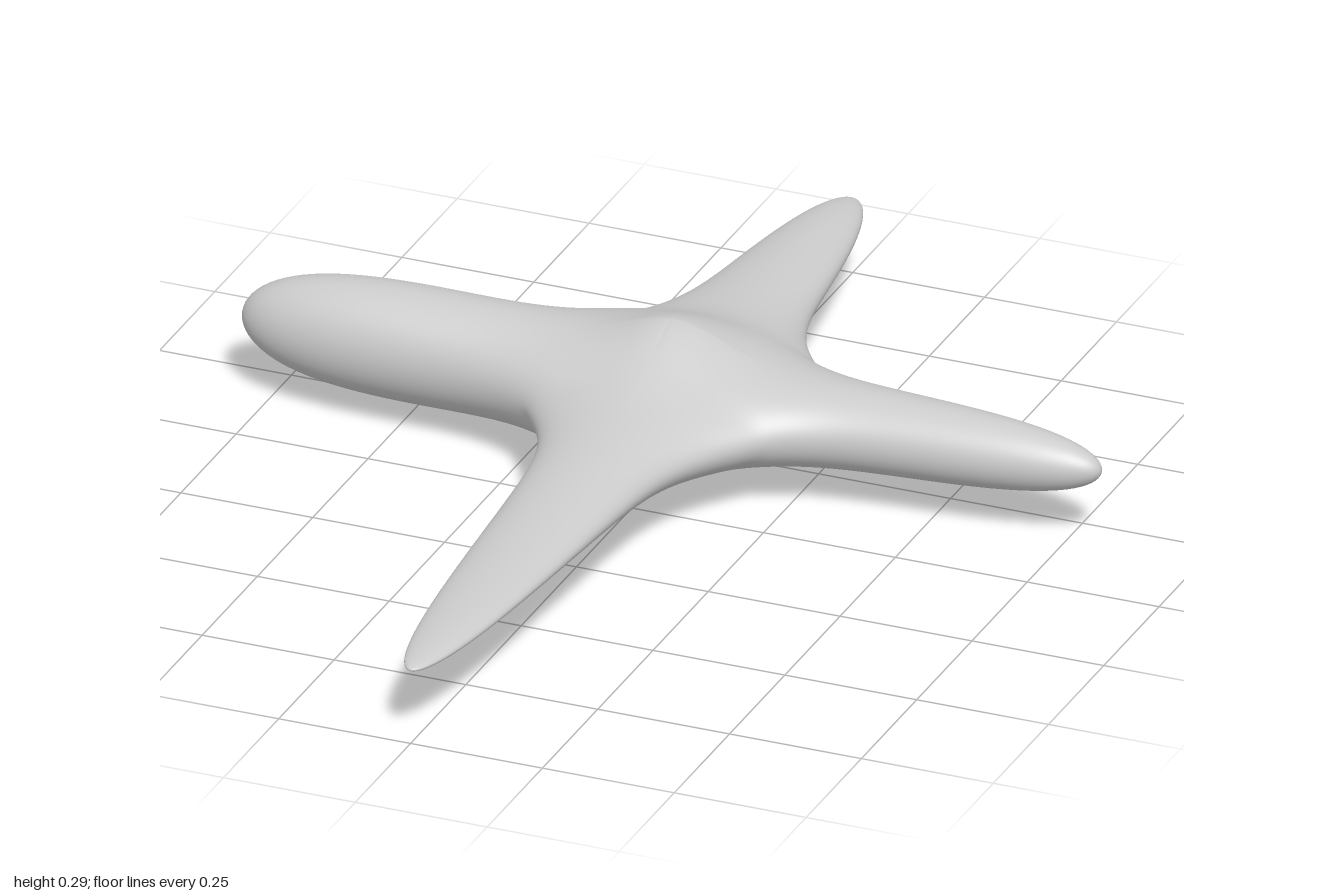
import * as THREE from 'three';
import { mergeVertices } from 'three/addons/utils/BufferGeometryUtils.js';

const CENTRE = { y: 0.143, z: -0.185 };

// Each arm: length, tip bluntness, half width and half height at root and tip
const ARMS = {
  left: { L: 0.813, n: 6, w: [0.1, 0.066], h: [0.082, 0.07] },
  right: { L: 0.813, n: 6, w: [0.106, 0.105], h: [0.078, 0.113] },
  front: { L: 1.185, n: 8, w: [0.133, 0.055], h: [0.09, 0.02] },
  back: { L: 0.815, n: 6, w: [0.135, 0.068], h: [0.085, 0.034] },
};

// Squared half thickness of one arm, d along it and c across it (negative = outside)
function armField({ L, n, w, h }, d, c) {
  const t = 1 - d / L;
  const width = w[1] + (w[0] - w[1]) * t + 0.17 * Math.exp(-((d / 0.2) ** 2));
  const height = h[1] + (h[0] - h[1]) * t * t;
  return height * height * (1 - (d / L) ** n - (c / width) ** 2);
}

// Opposite arms melt into each other around the hub
function axisField(neg, pos, s, c) {
  const k = THREE.MathUtils.smoothstep(s, -0.2, 0.2);
  const d = Math.abs(s);
  return (k < 1 ? (1 - k) * armField(neg, d, c) : 0) + (k > 0 ? k * armField(pos, d, c) : 0);
}

// Smooth union of the two crossing pairs of arms
function field(x, z) {
  const a = axisField(ARMS.right, ARMS.left, x, z);
  const b = axisField(ARMS.back, ARMS.front, z, x);
  return (a + b + Math.hypot(a - b, 0.0006)) / 2;
}

// Distance from the hub to the outline in a direction
function outline(cx, cz) {
  let lo = 0, hi = 1.3;
  for (let i = 0; i < 40; i++) {
    const m = (lo + hi) / 2;
    if (field(cx * m, cz * m) > 0) lo = m;
    else hi = m;
  }
  return lo;
}

function bodyGeometry() {
  const half = 48, rings = 80, cols = half * 8;
  const pos = [], index = [];
  for (let j = 0; j < cols; j++) {
    // Directions crowd towards the arm axes, so that the tips stay round
    const arm = Math.floor(j / (2 * half));
    const u = (j % (2 * half)) / half - 1;
    const angle = arm * Math.PI / 2 + (Math.PI / 4) * (0.12 * u + 0.88 * u ** 3);
    const cx = Math.cos(angle), cz = Math.sin(angle);
    const R = outline(cx, cz);
    for (let i = 0; i <= rings; i++) {
      const phi = (i / rings) * Math.PI;
      const r = R * Math.sin(phi);
      const T = i === rings / 2 ? 0 : Math.max(0, field(cx * r, cz * r));
      // Rounded dome above the hub, pointed cone below it
      const fade = T / (T + 0.0005);
      const above = i <= rings / 2;
      const bump = above
        ? 0.058 * Math.exp(-((r / 0.13) ** 2))
        : 0.07 * Math.exp(-Math.hypot(r, 0.012) / 0.09);
      const y = (Math.sqrt(T) + bump * fade) * (above ? 1 : -1);
      pos.push(cx * r, Math.max(0, CENTRE.y + y), CENTRE.z + cz * r);
      if (i < rings) {
        const a = j * (rings + 1) + i;
        const c = ((j + 1) % cols) * (rings + 1) + i;
        if (i > 0) index.push(a, c, a + 1);
        if (i < rings - 1) index.push(c, c + 1, a + 1);
      }
    }
  }
  let geo = new THREE.BufferGeometry();
  geo.setAttribute('position', new THREE.Float32BufferAttribute(pos, 3));
  geo.setIndex(index);
  geo = mergeVertices(geo, 1e-5);
  geo.computeVertexNormals();
  return geo;
}

export function createModel() {
  const group = new THREE.Group();
  group.name = 'fourArmedStar';
  const body = new THREE.Mesh(bodyGeometry(), new THREE.MeshStandardMaterial({ color: 0xcccccc }));
  body.name = 'starBody';
  group.add(body);
  return group;
}
